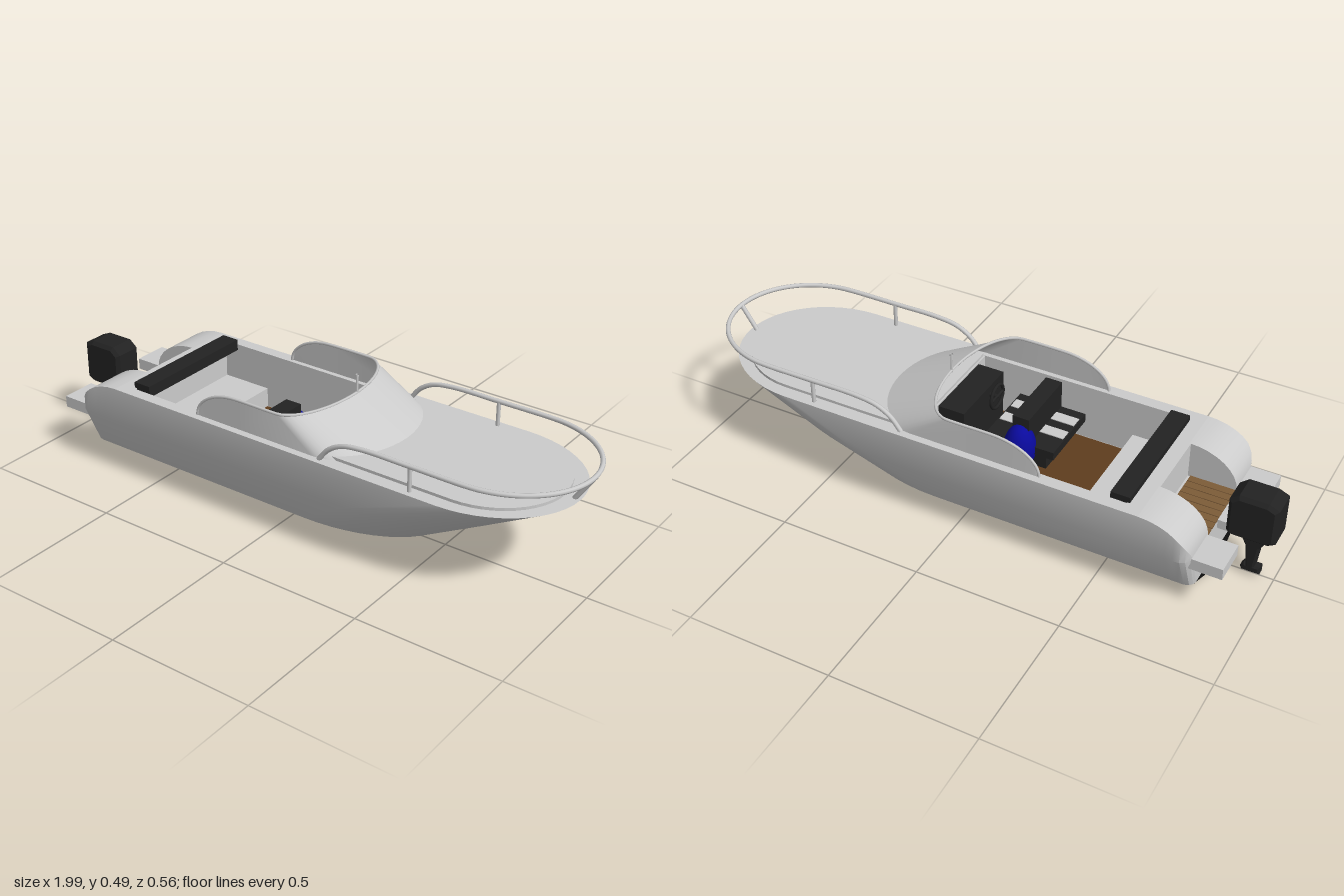
import * as THREE from 'three';
import { toCreasedNormals } from 'three/addons/utils/BufferGeometryUtils.js';

const mat = (color) => new THREE.MeshStandardMaterial({ color, side: THREE.DoubleSide });
const GREY = mat(0xcccccc), BLACK = mat(0x222222), BOTTOM = mat(0x111111);
const WOOD = mat(0x5f3d1e), SLAT = mat(0x7d5c38), BLUE = mat(0x0a0a9c);

const STERN = -0.81, DECK = 0.325, FLOOR = 0.12, SHOULDER = -0.64;
const V = (x, y, z) => new THREE.Vector3(x, y, z);
const flip = (p) => V(p.x, p.y, -p.z);
// Completes a half outline (stern to bow centre) with its mirror image.
const bothSides = (half) => [...half, ...half.slice(0, -1).reverse().map(flip)];

// Skin between equal-length rows of points.
function skin(rows) {
  const n = rows[0].length, index = [];
  for (let i = 0; i < rows.length - 1; i++) {
    for (let j = 0; j < n - 1; j++) {
      const a = i * n + j, b = a + n;
      index.push(a, a + 1, b + 1, a, b + 1, b);
    }
  }
  const g = new THREE.BufferGeometry().setFromPoints(rows.flat());
  g.setIndex(index);
  return toCreasedNormals(g, 0.5);
}

// Elliptical nose from a straight side to the centre line.
function nose(hw, xs, tip, y, n = 12) {
  return Array.from({ length: n + 1 }, (_, i) => {
    const t = (i / n) * Math.PI / 2;
    return V(xs + (tip - xs) * Math.sin(t), y, i === n ? 0 : hw * Math.cos(t));
  });
}

// Half waterline: rounded stern corner, straight side, elliptical bow.
function waterline({ y, hw, xs, tip, drop }) {
  const aft = [], c = 0.04 * hw / 0.28;
  for (let i = 0; i <= 8; i++) {
    const t = (i / 8) * Math.PI / 2;
    const x = SHOULDER - 0.17 * Math.cos(t), d = Math.max(0, c - (x - STERN));
    aft.push(V(x, drop ? 0.2 + 0.125 * Math.sin(t) : y, hw - c + Math.sqrt(Math.max(0, c * c - d * d))));
  }
  return [...aft, ...nose(hw, xs, tip, y)];
}

export function createModel() {
  const boat = new THREE.Group();
  boat.name = 'motorboat';
  const add = (name, geometry, material = GREY) => {
    const m = new THREE.Mesh(geometry, material);
    m.name = name;
    boat.add(m);
    return m;
  };
  // Box given by its limits on each axis.
  const box = (name, [x0, x1], [y0, y1], [z0, z1], material) => {
    const m = add(name, new THREE.BoxGeometry(x1 - x0, y1 - y0, z1 - z0), material);
    m.position.set((x0 + x1) / 2, (y0 + y1) / 2, (z0 + z1) / 2);
    return m;
  };
  const rod = (name, a, b, r, material) => add(name,
    new THREE.TubeGeometry(new THREE.LineCurve3(a, b), 1, r, 8), material);

  // Hull
  const levels = [
    { y: 0, hw: 0.068, xs: -0.1, tip: 0.14 },
    { y: 0.06, hw: 0.215, xs: 0.1, tip: 0.49 },
    { y: 0.2, hw: 0.28, xs: 0.3, tip: 0.735 },
    { y: DECK, hw: 0.28, xs: 0.62, tip: 0.95, drop: true },
  ].map(waterline);
  const [keel, chine, knuckle, sheer] = levels;
  add('hullBottom', skin([keel, chine].map(bothSides)), BOTTOM);
  add('keelFlat', skin([keel, keel.map(flip)]), BOTTOM);
  add('hullSides', skin([chine, knuckle, sheer].map(bothSides)));
  add('lowerTransom', skin([keel, chine].map((l) => [flip(l[0]), l[0]])), BOTTOM);
  add('transom', skin([chine, knuckle].map((l) => [flip(l[0]), l[0]])));

  // Deck, leaving the motor well and the cockpit open
  const edge = (x) => V(x, DECK, 0.28);
  const deckParts = [
    ['quarterDeck', sheer.slice(0, 9), 0.12],
    ['aftDeck', [edge(SHOULDER), edge(-0.59)], 0],
    ['sideDeck', [edge(-0.59), edge(0.16)], 0.24],
    ['foreDeck', [edge(0.16), ...sheer.slice(9)], 0],
  ];
  for (const [name, outer, inner] of deckParts) {
    const inside = outer.map((p) => V(p.x, p.y, Math.min(p.z, inner)));
    add(name, skin([outer, inside]));
    add(name, skin([inside.map(flip), outer.map(flip)]));
  }
  const panel = new THREE.Shape(bothSides([V(0.16, 0, 0.235), ...nose(0.235, 0.65, 0.9, 0)])
    .map((p) => new THREE.Vector2(p.x, p.z)));
  const panelGeo = new THREE.ExtrudeGeometry(panel, { depth: 0.01, bevelEnabled: false });
  add('foreDeckPanel', panelGeo.rotateX(Math.PI / 2)).position.y = 0.335;

  // Motor well with slatted floor, and stern steps
  const rim = sheer.slice(0, 9).map((p) => V(p.x, p.y, 0.12));
  const foot = rim.map((p) => V(p.x, 0.19, 0.12));
  add('wellSide', skin([foot, rim]));
  add('wellSide', skin([foot.map(flip), rim.map(flip)]));
  box('wellBulkhead', [-0.645, -0.635], [0.18, DECK], [-0.12, 0.12]);
  box('wellFloor', [STERN, -0.64], [0.18, 0.196], [-0.12, 0.12]);
  for (let i = 0; i < 8; i++) {
    const z = -0.118 + i * 0.0296;
    box('wellSlat', [STERN, -0.655], [0.196, 0.203], [z, z + 0.027], SLAT);
  }
  for (const s of [-1, 1]) {
    box('sternStep', [-0.91, -0.79], [0.165, 0.205], s > 0 ? [0.125, 0.25] : [-0.25, -0.125]);
  }

  // Cockpit
  box('cockpitFloor', [-0.59, 0.16], [FLOOR - 0.01, FLOOR], [-0.236, 0.236], WOOD);
  for (const z of [-0.24, 0.24]) box('cockpitSide', [-0.59, 0.16], [FLOOR, DECK], [z - 0.002, z + 0.002]);
  box('aftBulkhead', [-0.595, -0.585], [FLOOR, DECK], [-0.24, 0.24]);
  box('foreBulkhead', [0.155, 0.165], [FLOOR, DECK], [-0.236, 0.236]);
  box('bench', [-0.585, -0.4], [FLOOR, 0.19], [-0.238, 0.238]);
  box('benchBackrest', [-0.595, -0.53], [0.305, 0.345], [-0.235, 0.23], BLACK);

  // Back-to-back seat with light stripes
  box('seatBase', [-0.19, -0.03], [FLOOR, 0.19], [0.02, 0.21], BLACK);
  box('seatCushion', [-0.23, 0.015], [0.19, 0.22], [-0.01, 0.23], BLACK);
  box('seatBackrest', [-0.14, -0.08], [0.22, 0.32], [-0.01, 0.23], BLACK);
  for (const z of [0.07, 0.15]) box('seatStripe', [-0.225, 0.01], [0.2, 0.223], [z, z + 0.042]);
  const fender = add('fender', new THREE.SphereGeometry(0.054, 20, 14), BLUE);
  fender.scale.y = 1.6;
  fender.position.set(-0.11, 0.205, -0.012);

  // Helm
  box('helmConsole', [0.06, 0.155], [FLOOR, 0.32], [-0.08, 0.19], BLACK);
  const wheel = add('steeringWheel', new THREE.TorusGeometry(0.042, 0.006, 8, 24), BLACK);
  wheel.rotation.set(0, Math.PI / 2, 0);
  wheel.position.set(0.035, 0.285, 0.1);
  rod('steeringColumn', V(0.035, 0.285, 0.1), V(0.07, 0.285, 0.1), 0.008, BLACK);
  rod('wheelSpoke', V(0.035, 0.285, 0.06), V(0.035, 0.285, 0.14), 0.005, BLACK);

  // Wraparound windscreen: rounded rear corners, raked front
  const sill = [], top = [];
  for (let i = 0; i <= 8; i++) {
    const t = (i / 8) * Math.PI / 2, x = -0.13 - 0.17 * Math.cos(t);
    sill.push(V(x, DECK, 0.255));
    top.push(V(x, DECK + 0.102 * Math.sin(t), 0.253));
  }
  sill.push(...nose(0.255, 0.16, 0.365, DECK));
  top.push(...nose(0.253, 0.02, 0.14, 0.427));
  add('windscreen', skin([bothSides(sill), bothSides(top)]));
  const rimCurve = new THREE.CatmullRomCurve3(bothSides(top));
  add('windscreenRim', new THREE.TubeGeometry(rimCurve, 90, 0.005, 6));
  rod('antenna', V(0.14, 0.42, -0.015), V(0.14, 0.49, -0.015), 0.004);
  rod('antennaTip', V(0.14, 0.485, -0.015), V(0.14, 0.491, -0.015), 0.006);

  // Bow rail and posts
  const railHalf = [V(0.19, DECK, 0.258), V(0.225, 0.368, 0.258), V(0.275, 0.397, 0.258),
    V(0.35, 0.409, 0.258), V(0.52, 0.41, 0.258), ...nose(0.258, 0.7, 0.985, 0.41, 8)];
  const rail = new THREE.CatmullRomCurve3(bothSides(railHalf));
  add('bowRail', new THREE.TubeGeometry(rail, 120, 0.008, 8));
  for (const z of [-0.256, 0.256]) rod('railPost', V(0.52, DECK, z), V(0.52, 0.41, z), 0.007);
  rod('bowPost', V(0.93, DECK, 0), V(0.985, 0.41, 0), 0.008);

  // Outboard motor: side outlines given a width
  const slab = (name, pts, width, bevel) => {
    const shape = new THREE.Shape(pts.map(([x, y]) => new THREE.Vector2(x, y)));
    const g = new THREE.ExtrudeGeometry(shape, { depth: width - 2 * bevel, bevelSize: bevel,
      bevelThickness: bevel, bevelOffset: -bevel, bevelSegments: 1 });
    add(name, g.translate(0, 0, bevel - width / 2), BLACK);
  };
  slab('motorCowl', [[-1, 0.18], [-0.975, 0.165], [-0.85, 0.165], [-0.84, 0.18], [-0.84, 0.3],
    [-0.87, 0.325], [-0.965, 0.325], [-1, 0.31]], 0.11, 0.012);
  slab('motorLeg', [[-0.975, 0.17], [-0.945, 0.115], [-0.935, 0.03], [-0.908, 0.03],
    [-0.9, 0.115], [-0.87, 0.17]], 0.04, 0.006);
  slab('motorFoot', [[-0.955, 0.012], [-0.895, 0.012], [-0.89, 0.025], [-0.9, 0.04], [-0.955, 0.04]], 0.035, 0.006);
  box('motorBracket', [-0.88, -0.8], [0.168, 0.2], [-0.04, 0.04]);
  return boat;
}
